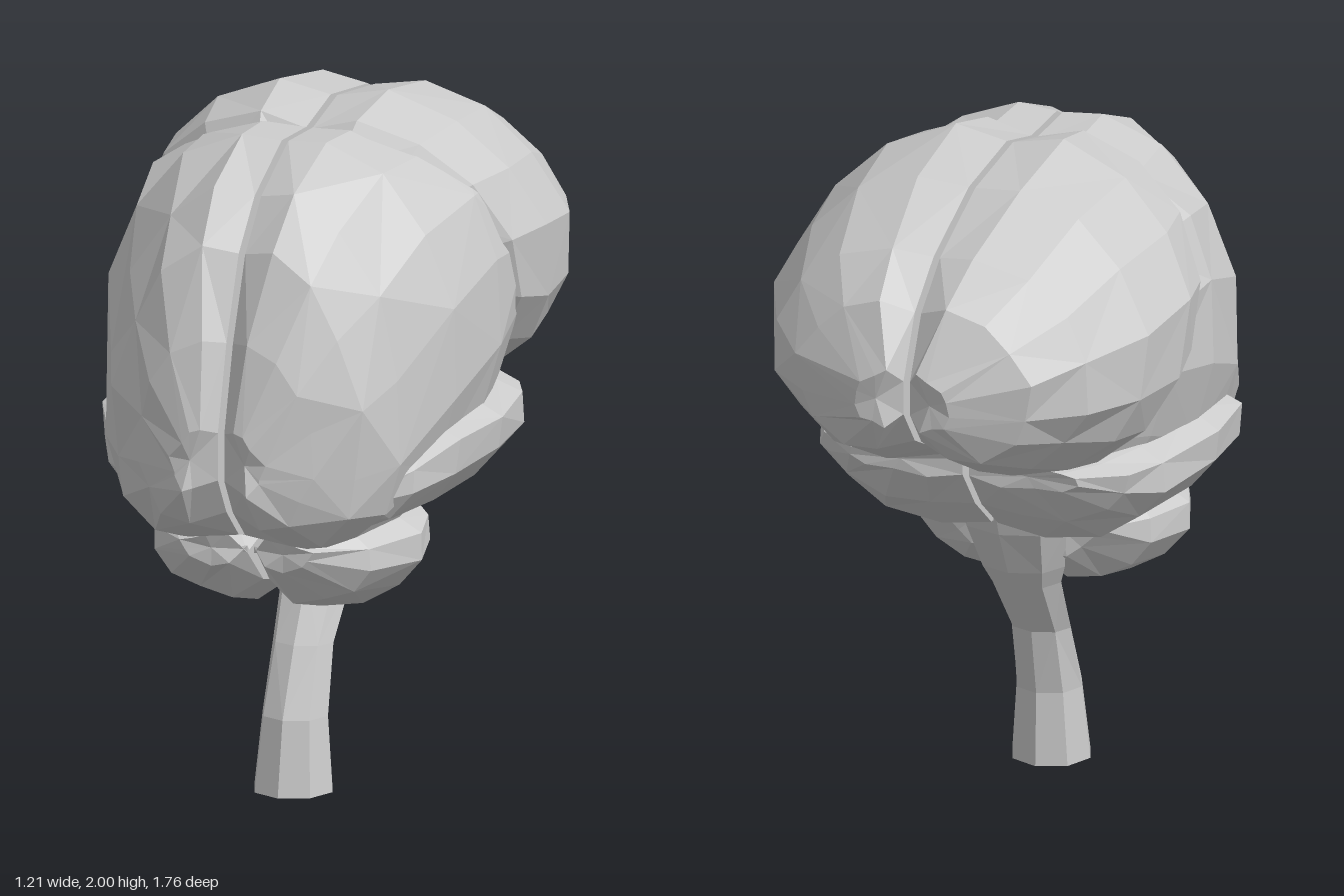
import * as THREE from 'three';

const material = new THREE.MeshStandardMaterial({ color: 0xcccccc, flatShading: true, side: THREE.DoubleSide });

// Repeatable small offset in the range -0.5..0.5
const wobble = (a, b) => {
  const s = Math.sin(a * 12.99 + b * 78.23) * 43758.55;
  return s - Math.floor(s) - 0.5;
};

// Closed faceted solid through a list of rings
function loft(name, rings) {
  const n = rings[0].length, position = [], index = [];
  rings.forEach(r => r.forEach(p => position.push(...p)));
  for (let j = 0; j < rings.length - 1; j++) {
    for (let i = 0; i < n; i++) {
      const k = (i + 1) % n;
      const a = j * n + i, b = a + n, d = j * n + k, c = d + n;
      if ((i + j) % 2) index.push(a, b, c, a, c, d);
      else index.push(a, b, d, b, c, d);
    }
  }
  // End caps fan out from the middle of the first and last ring
  [0, rings.length - 1].forEach(j => {
    const mid = position.length / 3;
    position.push(...[0, 1, 2].map(q => rings[j].reduce((s, p) => s + p[q], 0) / n));
    for (let i = 0; i < n; i++) {
      const a = j * n + i, b = j * n + (i + 1) % n;
      if (j) index.push(mid, b, a);
      else index.push(mid, a, b);
    }
  });
  const g = new THREE.BufferGeometry();
  g.setAttribute('position', new THREE.Float32BufferAttribute(position, 3));
  g.setIndex(index);
  const flat = g.toNonIndexed();
  flat.computeVertexNormals();
  const mesh = new THREE.Mesh(flat, material);
  mesh.name = name;
  return mesh;
}

// Angles around a half-section, from the inner top edge to the inner bottom edge
const angles = [90, 79, 58, 36, 13, -13, -38, -60, -79, -90].map(THREE.MathUtils.degToRad);

// Half-section with a flat inner side; station = [z, top, bottom, width, widestY, skew].
// A small lowerPower makes the underside flatter and boxier.
function halfRing([z, top, bottom, width, mid, skew = 0], seed, { groove, rough, lowerPower }) {
  const inner = 0.01;
  return angles.map((a, i) => {
    const s = Math.sin(a), end = i === 0 || i === angles.length - 1;
    const x = end ? inner : inner + (width - inner) * Math.pow(Math.cos(a), s > 0 ? 0.85 : lowerPower);
    const y = mid + s * (s > 0 ? top - mid : mid - bottom) - (end ? Math.sign(s) * groove : 0);
    const r = end ? 0 : rough;
    return [
      Math.max(inner, x + r * wobble(seed, i)),
      y + r * wobble(i, seed + 3),
      (end ? 0.95 * z : z) + skew * (y - mid) + r * wobble(seed + 7, i + 2)
    ];
  });
}

const mirrorRing = ring => ring.map(([x, y, z]) => [-x, y, z]).reverse();

// Left and right copies of one lobe
function addPair(group, name, stations, style) {
  const rings = stations.map((s, j) => halfRing(s, j + name.length, style));
  group.add(loft('left' + name, rings));
  group.add(loft('right' + name, rings.map(mirrorRing)));
}

export function createModel() {
  const model = new THREE.Group();
  model.name = 'brain';

  // Large upper lobe at the back
  addPair(model, 'UpperBackLobe', [
    [-0.87, 1.55, 1.37, 0.15, 1.45],
    [-0.78, 1.73, 1.26, 0.36, 1.46],
    [-0.63, 1.85, 1.19, 0.49, 1.48],
    [-0.42, 1.97, 1.12, 0.58, 1.49, 0.15],
    [-0.2, 2.01, 1.08, 0.61, 1.49, 0.3],
    [-0.03, 1.96, 1.14, 0.57, 1.5, 0.42],
    [0.08, 1.85, 1.22, 0.45, 1.5, 0.45]
  ], { groove: 0.04, rough: 0.025, lowerPower: 0.75 });

  // Tall lobe at the front
  addPair(model, 'FrontLobe', [
    [-0.35, 1.8, 1.08, 0.4, 1.42],
    [-0.15, 1.93, 0.98, 0.55, 1.46],
    [0.1, 1.95, 0.87, 0.575, 1.46],
    [0.35, 1.96, 0.8, 0.53, 1.36],
    [0.57, 1.85, 0.79, 0.46, 1.16],
    [0.7, 1.71, 0.82, 0.38, 1.12],
    [0.8, 1.47, 0.91, 0.27, 1.12],
    [0.87, 1.22, 1.02, 0.14, 1.1]
  ], { groove: 0.03, rough: 0.03, lowerPower: 0.55 });

  // Lower side lobe, running into the front lobe
  addPair(model, 'LowerSideLobe', [
    [-0.4, 1.14, 1.05, 0.36, 1.1],
    [-0.3, 1.17, 0.93, 0.47, 1.08],
    [-0.17, 1.2, 0.83, 0.54, 1.08],
    [0.12, 1.24, 0.83, 0.585, 1.09],
    [0.36, 1.21, 0.82, 0.555, 1.07],
    [0.52, 1.12, 0.83, 0.47, 1.02],
    [0.62, 1.05, 0.87, 0.36, 0.98]
  ], { groove: 0.02, rough: 0.02, lowerPower: 0.75 });

  // Small rounded lobes under the main mass
  addPair(model, 'Cerebellum', [
    [0.02, 0.87, 0.7, 0.24, 0.78],
    [0.13, 0.9, 0.6, 0.37, 0.78],
    [0.3, 0.9, 0.56, 0.41, 0.78],
    [0.5, 0.87, 0.61, 0.34, 0.77],
    [0.63, 0.84, 0.74, 0.2, 0.79]
  ], { groove: 0.06, rough: 0.02, lowerPower: 0.85 });

  // Curved stem; rows are [y, z, radius x, radius z]
  const stem = [
    [0, 0.267, 0.12, 0.122],
    [0.22, 0.252, 0.1, 0.1],
    [0.42, 0.19, 0.092, 0.075],
    [0.6, 0.075, 0.108, 0.092],
    [0.66, 0.05, 0.13, 0.11],
    [0.8, -0.01, 0.16, 0.12],
    [1.0, -0.05, 0.2, 0.15]
  ].map(([y, z, rx, rz]) => Array.from({ length: 8 }, (_, i) => {
    const a = i * Math.PI / 4;
    return [rx * Math.cos(a), y, z + rz * Math.sin(a)];
  }));
  model.add(loft('stem', stem));

  return model;
}
